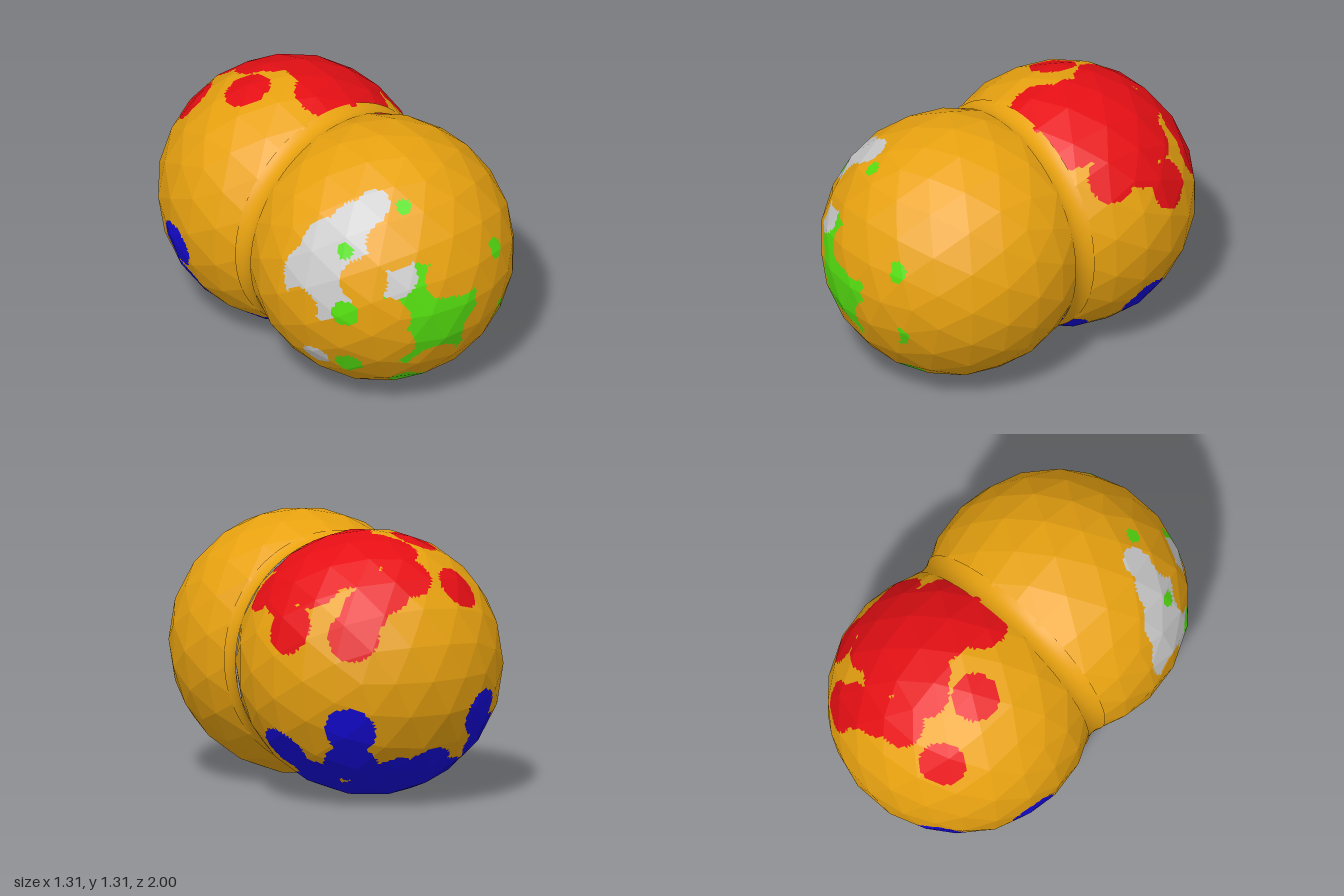
import * as THREE from 'three';

const R = 0.657, CY = 0.656, CZ = 0.343, STEPS = 10;
const COLORS = { orange: 0xe8a210, red: 0xe60f14, blue: 0x150ad8, green: 0x55e010, grey: 0xcccccc };

// Round paint spots: a colour, a centre relative to the lobe and a radius
const spot = (color, x, y, z, r) => ({ color, r, p: new THREE.Vector3(x, y, z).setLength(R) });
const depth = (a, b) => Math.sqrt(Math.max(0, R * R - a * a - b * b));
const onFront = (color, list) => list.map(([x, y, r]) => spot(color, x, y, depth(x, y), r));
const onTop = (color, list) => list.map(([x, z, r]) => spot(color, x, depth(x, z + CZ), z + CZ, r));

const frontPaint = [
  ...onFront('green', [[-0.15, 0.05, 0.3], [0, -0.15, 0.26], [-0.22, -0.12, 0.22]]),
  ...onFront('grey', [[-0.6, 0.15, 0.2], [-0.52, 0.32, 0.17], [-0.4, 0.43, 0.14], [-0.28, 0.52, 0.08],
    [-0.34, 0.23, 0.12], [-0.55, -0.32, 0.07]]),
  ...onFront('green', [[-0.54, 0.02, 0.07], [0.25, 0.185, 0.055], [0.25, -0.185, 0.07], [-0.17, 0.505, 0.04],
    [-0.48, 0.33, 0.04], [-0.47, -0.33, 0.07], [0.15, -0.505, 0.07], [-0.17, -0.49, 0.09]]),
  ...onFront('orange', [[-0.4, 0, 0.125], [-0.46, 0.2, 0.12], [-0.1, 0.18, 0.11], [0.1, 0.18, 0.13],
    [0, 0.17, 0.12], [-0.3, 0.37, 0.13], [-0.13, 0.38, 0.14], [0.19, 0, 0.125], [-0.37, -0.17, 0.13],
    [-0.12, -0.35, 0.14], [0.12, -0.35, 0.14], [0.14, -0.17, 0.14], [-0.64, 0, 0.1], [0.05, 0.33, 0.14]]),
];
const backPaint = [
  ...onTop('red', [[0.08, -0.15, 0.17], [0.28, -0.15, 0.18], [0.2, -0.33, 0.2], [0.38, -0.3, 0.15],
    [0.33, -0.5, 0.16], [0.1, -0.55, 0.17], [0, -0.6, 0.12], [0.25, -0.62, 0.14], [0.42, -0.57, 0.13],
    [0.02, -0.77, 0.13], [0.17, -0.8, 0.13], [0.36, -0.84, 0.13], [0.28, -0.82, 0.12], [-0.2, -0.45, 0.12],
    [-0.27, -0.77, 0.12], [0.52, -0.23, 0.12], [0.52, -0.42, 0.12], [0.57, -0.56, 0.125]]),
  ...[[0.37, -0.25, -0.48, 0.13], [0.52, -0.38, -0.09, 0.13], [0.305, -0.44, -0.375, 0.14],
    [0.38, -0.51, -0.155, 0.13], [0.08, -0.5, -0.417, 0.14], [-0.07, -0.456, -0.467, 0.13],
    [-0.34, -0.2, -0.52, 0.12], [0.336, -0.495, 0.27, 0.12], [0.23, -0.61, -0.02, 0.2],
    [0.06, -0.62, -0.2, 0.23], [-0.14, -0.56, -0.314, 0.2], [-0.2, -0.62, 0, 0.3],
    [-0.4, -0.34, -0.39, 0.13], [-0.62, -0.14, -0.14, 0.12], [-0.5, -0.38, -0.16, 0.15],
    [-0.35, -0.52, -0.15, 0.18]].map(s => spot('blue', ...s)),
];

function pickColor(point, paint) {
  const p = point.clone().setLength(R);
  let color = 'orange';
  for (const s of paint) if (s.p.distanceTo(p) < s.r) color = s.color;
  return color;
}

// Faceted ball, each flat facet cut finely so that spots have round outlines
function buildLobe(name, side, paint) {
  const group = new THREE.Group();
  group.name = name;
  const pos = new THREE.IcosahedronGeometry(R, 3).rotateX(Math.PI / 2).attributes.position;
  const buckets = {};
  const centre = new THREE.Vector3();
  const add = (...tri) => {
    centre.set(0, 0, 0);
    tri.forEach(v => centre.addScaledVector(v, 1 / 3));
    if (side * centre.z + CZ < 0.01) return; // hidden inside the neck
    const list = (buckets[pickColor(centre, paint)] ??= []);
    tri.forEach(v => list.push(v.x, v.y, v.z));
  };
  for (let f = 0; f < pos.count; f += 3) {
    const [a, b, c] = [0, 1, 2].map(k => new THREE.Vector3().fromBufferAttribute(pos, f + k));
    const at = (i, j) => a.clone().multiplyScalar(1 - (i + j) / STEPS)
      .addScaledVector(b, i / STEPS).addScaledVector(c, j / STEPS);
    for (let i = 0; i < STEPS; i++) {
      for (let j = 0; j < STEPS - i; j++) {
        add(at(i, j), at(i + 1, j), at(i, j + 1));
        if (i + j < STEPS - 1) add(at(i + 1, j), at(i + 1, j + 1), at(i, j + 1));
      }
    }
  }
  for (const [color, list] of Object.entries(buckets)) {
    const geo = new THREE.BufferGeometry();
    geo.setAttribute('position', new THREE.Float32BufferAttribute(list, 3));
    geo.computeVertexNormals();
    const mesh = new THREE.Mesh(geo, new THREE.MeshStandardMaterial({ color: COLORS[color], flatShading: true }));
    mesh.name = `${name} ${color} surface`;
    group.add(mesh);
  }
  group.position.set(0, CY, side * CZ);
  return group;
}

// Smooth fillet where the two lobes meet
function buildNeck() {
  const profile = [];
  for (let i = -6; i <= 6; i++) {
    const z = i * 0.01;
    profile.push(new THREE.Vector2(0.5735 + 4.6 * z * z, z));
  }
  const geo = new THREE.LatheGeometry(profile, 96).rotateX(Math.PI / 2);
  const neck = new THREE.Mesh(geo, new THREE.MeshStandardMaterial({ color: COLORS.orange, side: THREE.DoubleSide }));
  neck.name = 'neck';
  neck.position.y = CY;
  return neck;
}

export function createModel() {
  const model = new THREE.Group();
  model.name = 'double ball';
  model.add(buildLobe('front lobe', 1, frontPaint), buildLobe('back lobe', -1, backPaint), buildNeck());
  return model;
}
